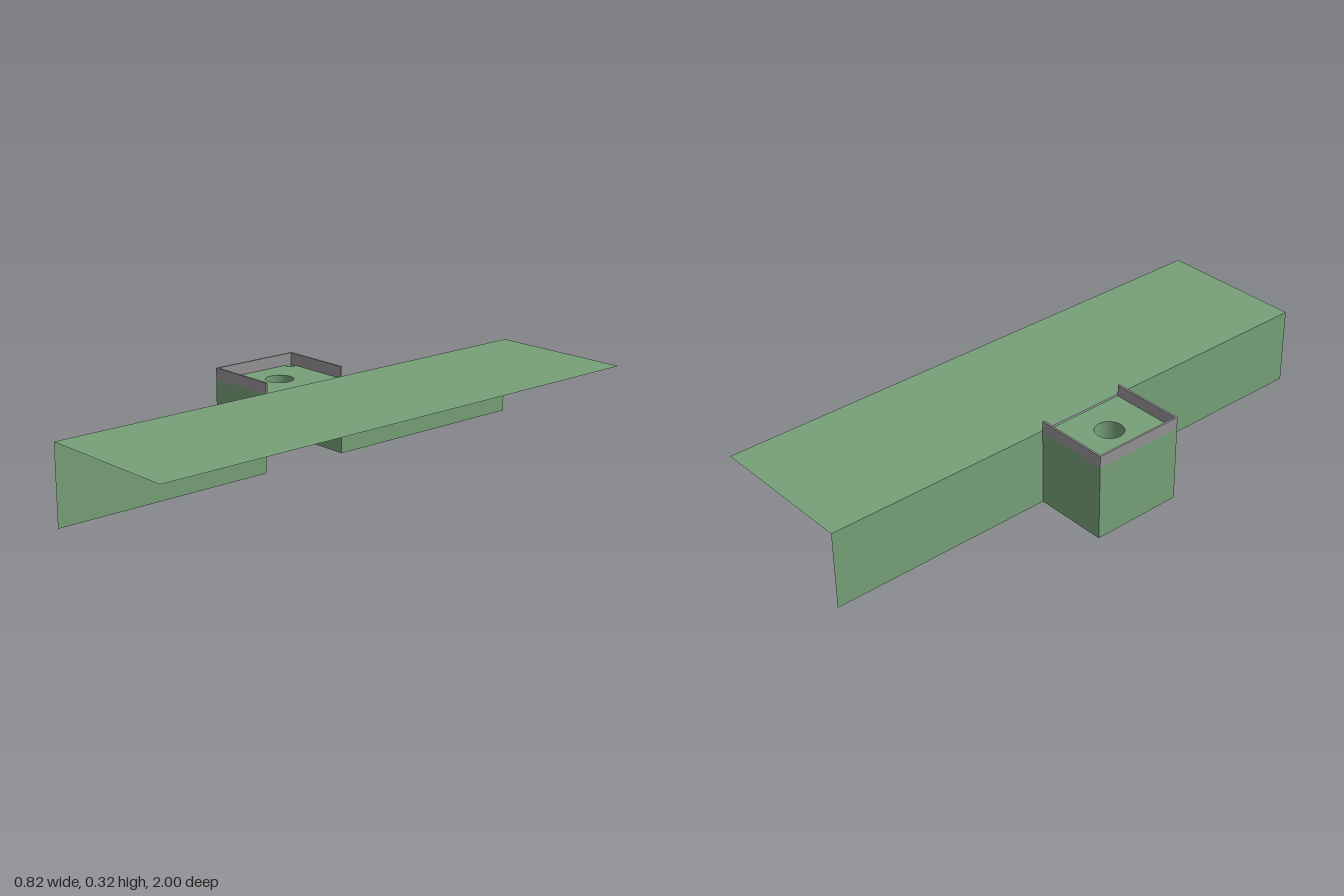
import * as THREE from 'three';

const green = new THREE.MeshStandardMaterial({ color: 0x76a078, side: THREE.DoubleSide });
const grey = new THREE.MeshStandardMaterial({ color: 0x969296, side: THREE.DoubleSide });

const X0 = -0.408, X1 = -0.137, X2 = 0.408; // box outer side, wall plane, sheet edge
const HALF = 0.17, FLOOR = 0.274, SHEET = 0.28, RIM_TOP = 0.316;

// wells sunk into the box top: x, z, radius, bottom height
const WELLS = [
  { name: 'mainWell', x: -0.27, z: 0, r: 0.05, bottom: 0.105 },
  { name: 'cornerWellFront', x: -0.387, z: 0.147, r: 0.015, bottom: 0.195 },
  { name: 'cornerWellBack', x: -0.387, z: -0.147, r: 0.015, bottom: 0.195 },
];

export function createModel() {
  const model = new THREE.Group();
  const add = (name, geometry, material, x = 0, y = 0, z = 0) => {
    const mesh = new THREE.Mesh(geometry, material);
    mesh.name = name;
    mesh.position.set(x, y, z);
    model.add(mesh);
    return mesh;
  };
  const flat = (w, d) => new THREE.PlaneGeometry(w, d).rotateX(-Math.PI / 2);
  const wallX = (d, h) => new THREE.PlaneGeometry(d, h).rotateY(-Math.PI / 2);

  // long top sheet
  add('topSheet', flat(X2 - X1, 2), green, (X1 + X2) / 2, SHEET, 0);

  // side walls either side of the box opening, and the box ends
  for (const [side, s] of [['Front', 1], ['Back', -1]]) {
    add('sideWall' + side, wallX(1 - HALF, SHEET), green, X1, SHEET / 2, s * (1 + HALF) / 2);
    const end = new THREE.PlaneGeometry(X1 - X0, FLOOR);
    if (s < 0) end.rotateY(Math.PI);
    add('boxEnd' + side, end, green, (X0 + X1) / 2, FLOOR / 2, s * HALF);
  }
  add('boxOuterWall', wallX(2 * HALF, FLOOR), green, X0, FLOOR / 2, 0);

  // box top with round openings (shape y maps to -z)
  const top = new THREE.Shape();
  top.moveTo(X0, -HALF).lineTo(X1, -HALF).lineTo(X1, HALF).lineTo(X0, HALF).closePath();
  for (const w of WELLS) {
    top.holes.push(new THREE.Path().absarc(w.x, -w.z, w.r, 0, Math.PI * 2, true));
  }
  add('boxTop', new THREE.ShapeGeometry(top, 16).rotateX(-Math.PI / 2), green, 0, FLOOR, 0);

  // closed wells hanging below the openings
  for (const w of WELLS) {
    const h = FLOOR - w.bottom;
    add(w.name, new THREE.CylinderGeometry(w.r, w.r, h, 32, 1, true), green, w.x, w.bottom + h / 2, w.z);
    add(w.name + 'Bottom', new THREE.CircleGeometry(w.r, 32).rotateX(-Math.PI / 2), green, w.x, w.bottom, w.z);
  }

  // thin rim around three sides of the box top
  const t = 0.007;
  const rim = new THREE.Shape();
  rim.moveTo(X0, -HALF).lineTo(X1, -HALF).lineTo(X1, -HALF + t).lineTo(X0 + t, -HALF + t);
  rim.lineTo(X0 + t, HALF - t).lineTo(X1, HALF - t).lineTo(X1, HALF).lineTo(X0, HALF).closePath();
  const rimGeometry = new THREE.ExtrudeGeometry(rim, { depth: RIM_TOP - FLOOR, bevelEnabled: false });
  add('rim', rimGeometry.rotateX(-Math.PI / 2), grey, 0, FLOOR, 0);

  return model;
}
